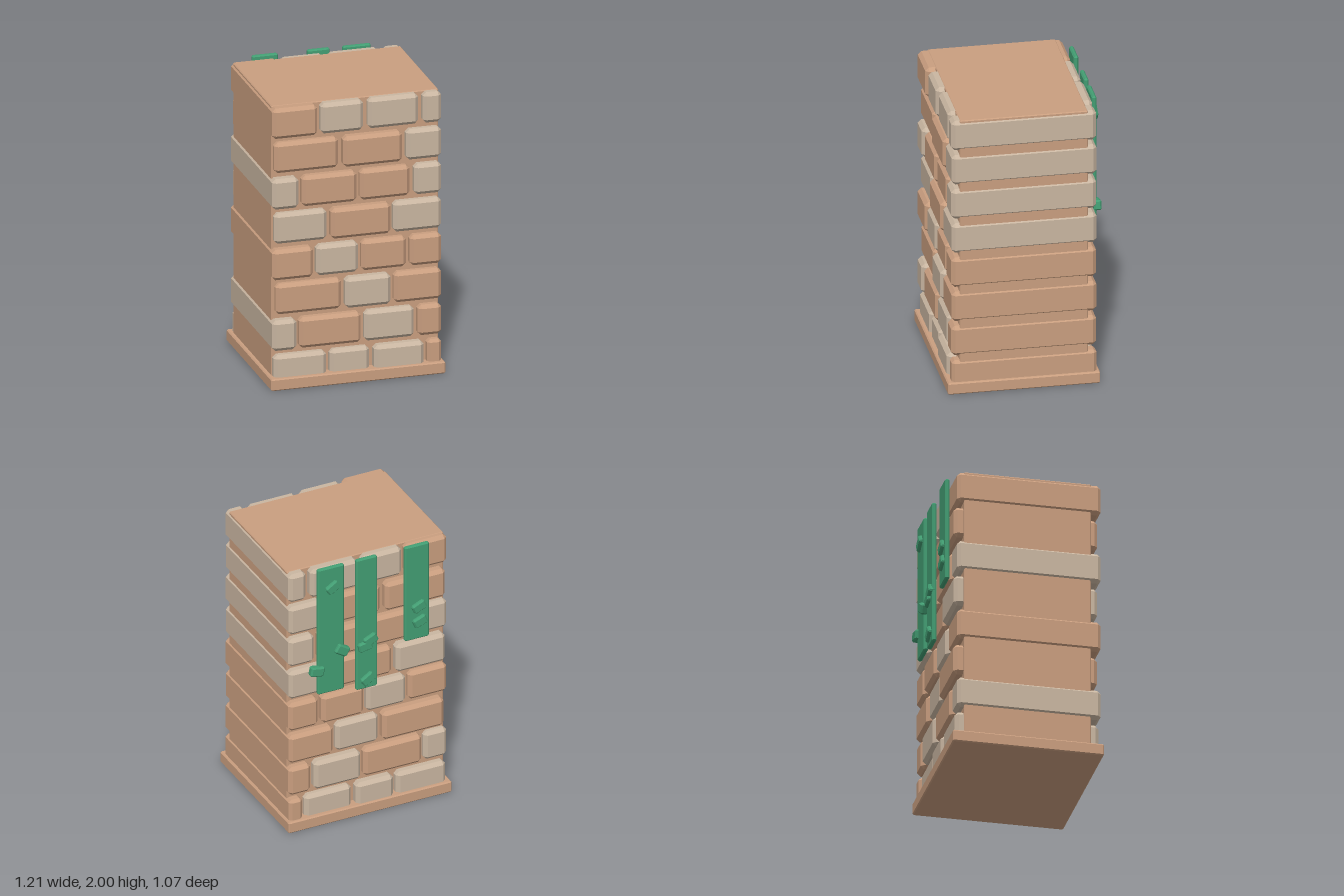
import * as THREE from 'three';
import { ConvexGeometry } from 'three/addons/geometries/ConvexGeometry.js';

// Box with flat chamfers on every edge
function chamferBox(w, h, d, c) {
  const pts = [];
  for (const sx of [-1, 1]) for (const sy of [-1, 1]) for (const sz of [-1, 1]) {
    const x = w / 2, y = h / 2, z = d / 2;
    pts.push(
      new THREE.Vector3(sx * x, sy * (y - c), sz * (z - c)),
      new THREE.Vector3(sx * (x - c), sy * y, sz * (z - c)),
      new THREE.Vector3(sx * (x - c), sy * (y - c), sz * z));
  }
  return new ConvexGeometry(pts);
}

export function createModel() {
  const group = new THREE.Group();
  const material = (name, color) => {
    const m = new THREE.MeshStandardMaterial({ color });
    m.name = name;
    return m;
  };
  const clay = material('clay', 0xc99e7f);
  const stone = material('paleStone', 0xc9b6a1);
  const green = material('vineGreen', 0x439e73);

  function block(name, mat, size, pos, chamfer, turn = 0) {
    const mesh = new THREE.Mesh(chamferBox(...size, chamfer), mat);
    mesh.name = name;
    mesh.position.set(...pos);
    mesh.rotation.z = THREE.MathUtils.degToRad(turn);
    group.add(mesh);
  }

  // Plinth and mortar core
  block('plinth', clay, [1.21, 0.083, 1.03], [0, 0.0415, 0.015], 0.008);
  block('core', clay, [1.16, 1.968, 0.866], [0, 1.004, 0.013], 0.006);

  // Courses from the bottom up; each brick is [x start, x end, is pale]
  const courses = [
    [[-0.575, -0.21, 1], [-0.185, 0.09, 1], [0.12, 0.465, 1], [0.49, 0.588, 0]],
    [[-0.59, -0.42, 1], [-0.4, 0.03, 0], [0.055, 0.4, 1], [0.425, 0.588, 0]],
    [[-0.56, -0.105, 0], [-0.08, 0.235, 1], [0.26, 0.588, 0]],
    [[-0.59, -0.305, 0], [-0.28, 0.01, 1], [0.035, 0.345, 0], [0.37, 0.588, 0]],
    [[-0.57, -0.205, 1], [-0.18, 0.235, 0], [0.255, 0.588, 1]],
    [[-0.59, -0.405, 1], [-0.38, 0, 0], [0.025, 0.37, 0], [0.4, 0.588, 1]],
    [[-0.57, -0.125, 0], [-0.095, 0.315, 0], [0.345, 0.588, 1]],
    [[-0.59, -0.275, 0], [-0.25, 0.045, 1], [0.08, 0.43, 1], [0.46, 0.588, 1]],
  ];
  const shifts = [0.012, 0.005, 0.02, 0.01, 0.024, 0.015, 0.008];
  let n = 0;
  courses.forEach((course, row) => {
    for (const [a, b, pale] of course) {
      block(pale ? 'paleBrick' : 'clayBrick', pale ? stone : clay,
        [b - a, 0.215, 0.98], [(a + b) / 2, 0.1275 + row * 0.25, shifts[n++ % shifts.length]],
        Math.min(0.024, (b - a) / 5));
    }
  });

  // Hanging vines on the back: [x start, x end, length]
  for (const [a, b, len] of [[0.2, 0.395, 0.97], [-0.045, 0.11, 1.012], [-0.43, -0.25, 0.73]]) {
    block('vine', green, [b - a, len, 0.032], [(a + b) / 2, 2 - len / 2, -0.498], 0.009);
  }

  // Leaves: [x, y, turn in degrees]
  const leaves = [
    [0.29, 1.845, -33], [0.22, 1.34, 32], [0.405, 1.222, 10], [0.01, 1.365, -25],
    [0.05, 1.325, -12], [0.03, 1.065, -33], [-0.35, 1.525, -25], [-0.357, 1.41, -22],
  ];
  for (const [x, y, turn] of leaves) {
    block('leaf', green, [0.1, 0.07, 0.05], [x, y, -0.512], 0.01, turn);
  }
  return group;
}
